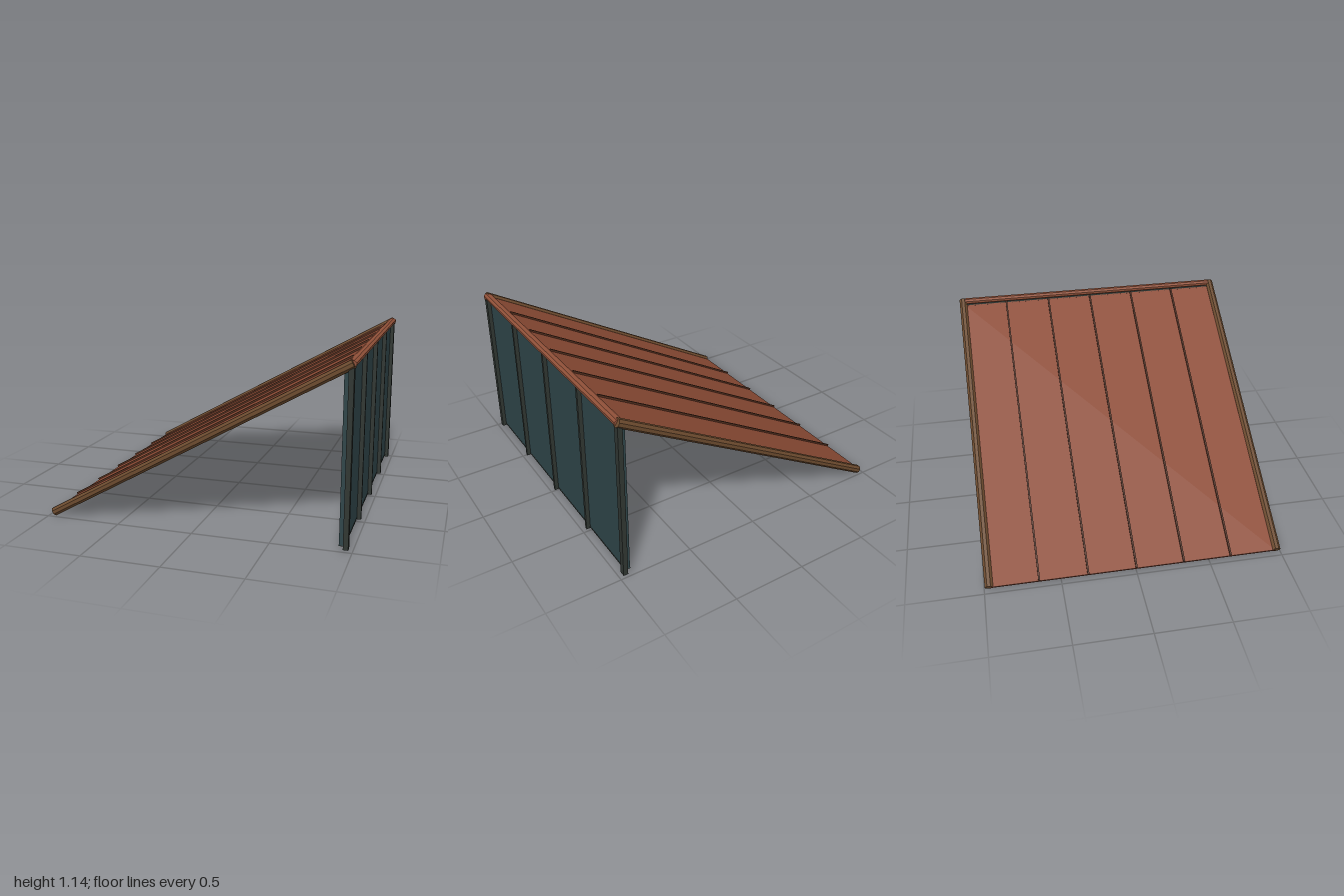
import * as THREE from 'three';

const paint = (color) => new THREE.MeshStandardMaterial({ color, flatShading: true });

export function createModel() {
  const model = new THREE.Group();
  const timber = paint(0x6b4a2e), tile = paint(0x8b4a34), ridgePaint = paint(0x8f5038);
  const batten = paint(0x54301f), teal = paint(0x2f4549), frame = paint(0x303632);

  const add = (parent, name, geometry, material, x, y, z) => {
    const mesh = new THREE.Mesh(geometry, material);
    mesh.name = name;
    mesh.position.set(x, y, z);
    parent.add(mesh);
    return mesh;
  };
  // Box given by its lowest and highest corners
  const block = (parent, name, material, [x0, y0, z0], [x1, y1, z1]) =>
    add(parent, name, new THREE.BoxGeometry(x1 - x0, y1 - y0, z1 - z0), material,
      (x0 + x1) / 2, (y0 + y1) / 2, (z0 + z1) / 2);
  // Eight-sided bar with flat sides; width is measured across the flats
  const bar = (width, length) => {
    const r = width / 2 / Math.cos(Math.PI / 8);
    return new THREE.CylinderGeometry(r, r, length, 8).rotateY(Math.PI / 8);
  };

  // Sloping roof, built flat along its own x axis and tilted as one piece
  const roof = new THREE.Group();
  roof.name = 'roof';
  roof.position.set(0, 0.577, 0);
  roof.rotation.z = Math.atan2(1.095, 1.94);
  model.add(roof);
  block(roof, 'roofPanel', tile, [-1.115, -0.01, -0.955], [1.06, 0.01, 0.955]);
  for (let i = -2; i <= 2; i++) {
    block(roof, 'roofBatten', batten, [-1.115, 0.008, i * 0.322 - 0.006], [1.06, 0.022, i * 0.322 + 0.006]);
  }
  for (const side of [-1, 1]) {
    const rail = add(roof, 'edgeRail', bar(0.054, 2.225), timber, 0, 0, side * 0.968);
    rail.rotation.z = Math.PI / 2;
  }

  // Ridge bar above the wall
  const ridge = add(model, 'ridgeBar', bar(1, 1), ridgePaint, 0.958, 1.122, 0);
  ridge.rotation.x = Math.PI / 2;
  ridge.scale.set(0.054, 1.94, 0.038);

  // Upright wall with its posts
  const wall = new THREE.Group();
  wall.name = 'wall';
  model.add(wall);
  block(wall, 'wallPanel', teal, [0.915, 0.03, -0.96], [0.948, 1.1, 0.96]);
  block(wall, 'bottomRail', frame, [0.913, 0.026, -0.96], [0.95, 0.034, 0.96]);
  block(wall, 'topRail', frame, [0.913, 1.088, -0.95], [0.955, 1.104, 0.95]);
  for (const z of [-0.484, 0, 0.484]) {
    block(wall, 'wallPost', frame, [0.945, 0.02, z - 0.01], [0.975, 1.11, z + 0.01]);
  }
  for (const z of [-0.968, 0.968]) {
    block(wall, 'cornerPost', frame, [0.943, 0.015, z - 0.019], [0.975, 1.11, z + 0.019]);
  }
  return model;
}
